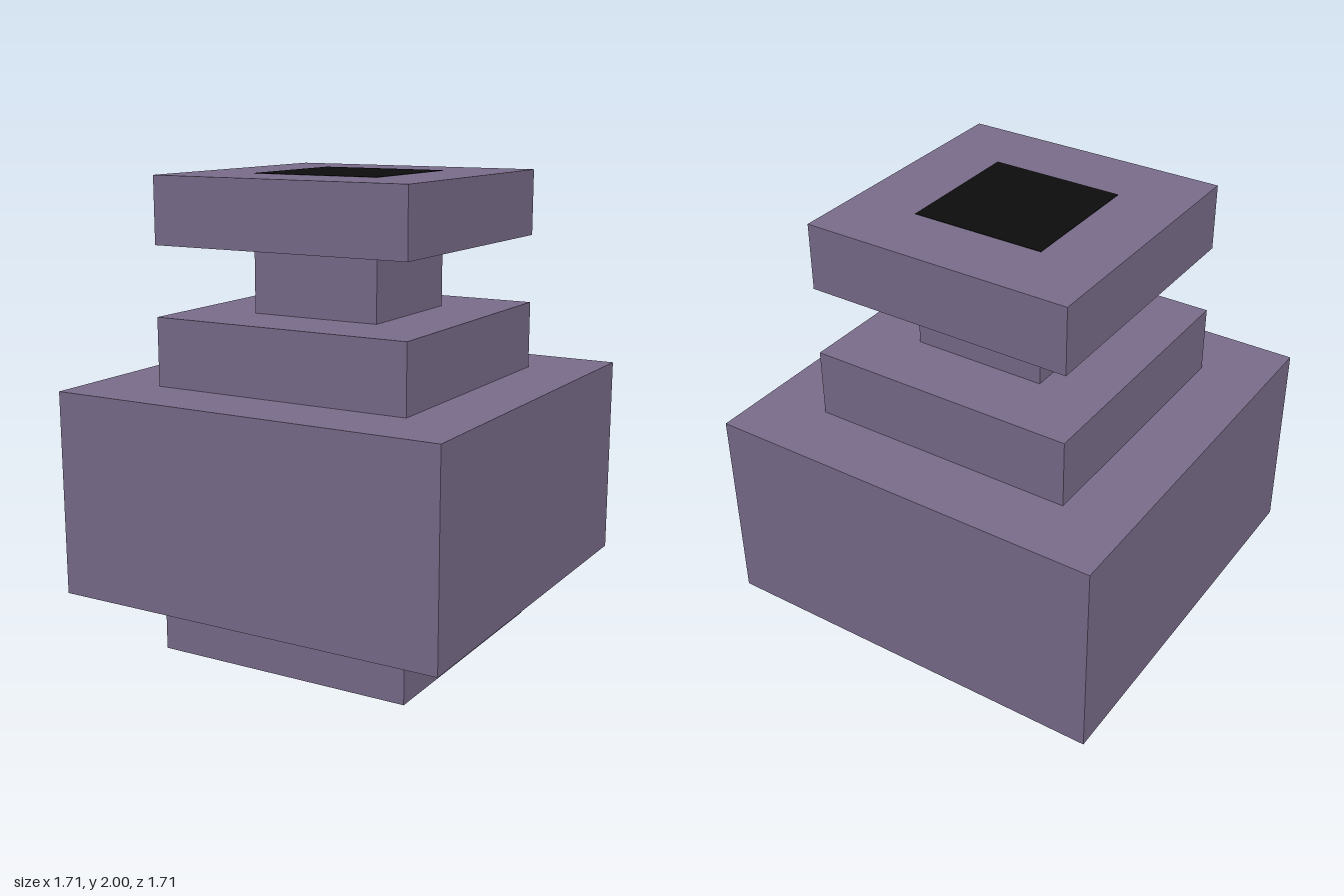
import * as THREE from 'three';

export function createModel() {
  const group = new THREE.Group();
  const clay = new THREE.MeshStandardMaterial({ color: 0x7a6d8c });
  const black = new THREE.MeshStandardMaterial({ color: 0x0d0d0d });

  // stacked square tiers: name, width, bottom, top
  const tiers = [
    ['foot', 1.143, 0, 0.286],
    ['body', 1.714, 0.286, 1.143],
    ['shoulder', 1.143, 1.143, 1.429],
    ['neck', 0.571, 1.429, 1.72],
    ['rim', 1.143, 1.72, 1.998],
  ];
  for (const [name, width, bottom, top] of tiers) {
    const tier = new THREE.Mesh(new THREE.BoxGeometry(width, top - bottom, width), clay);
    tier.name = name;
    tier.position.y = (bottom + top) / 2;
    group.add(tier);
  }

  // dark mouth as a thin plate on the rim
  const mouth = new THREE.Mesh(new THREE.BoxGeometry(0.566, 0.004, 0.566), black);
  mouth.name = 'mouth';
  mouth.position.y = 1.998;
  group.add(mouth);

  return group;
}
